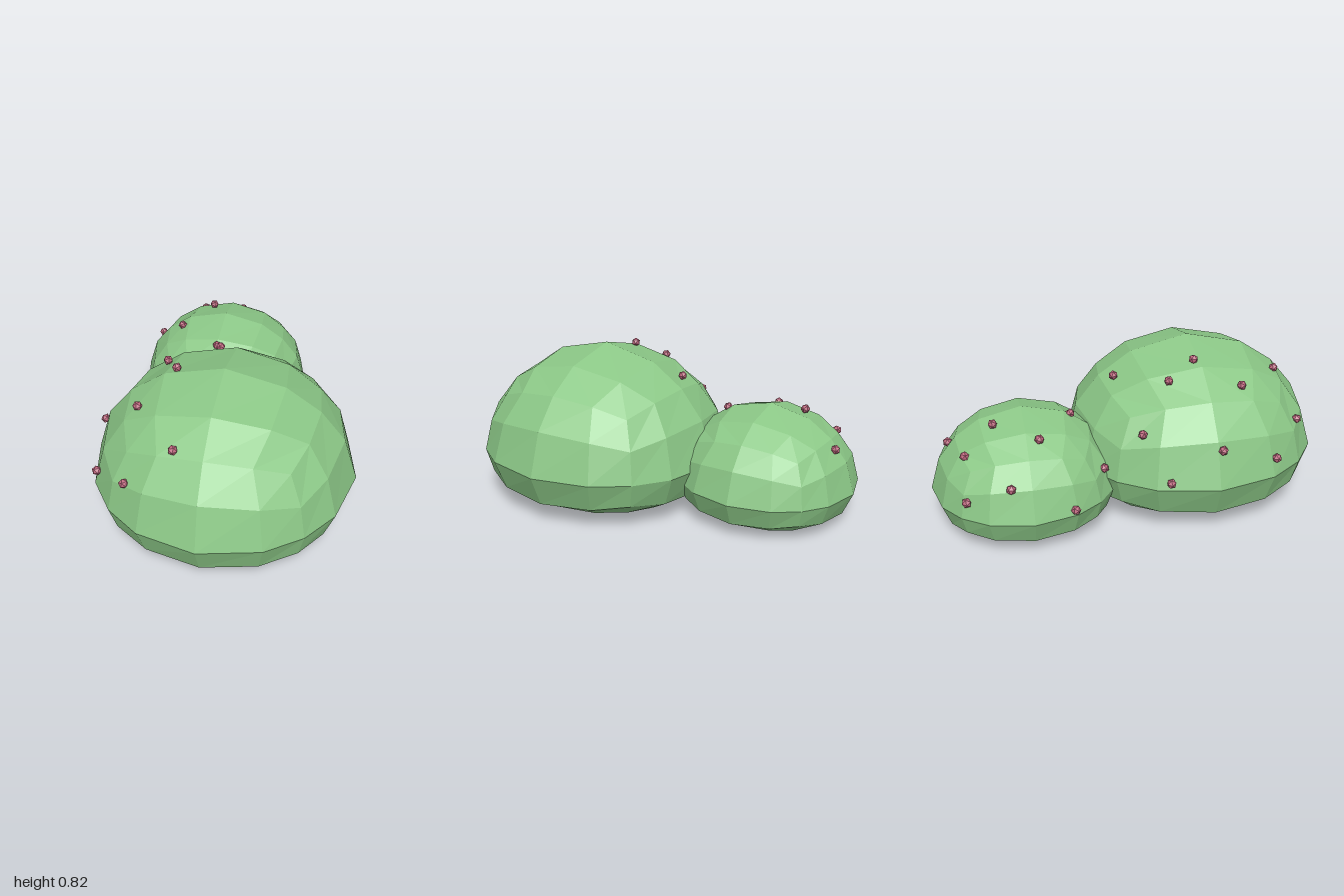
import * as THREE from 'three';

const leafMaterial = new THREE.MeshStandardMaterial({ color: 0x8cc887, flatShading: true });
const berryMaterial = new THREE.MeshStandardMaterial({ color: 0xc06880, flatShading: true });

// Height of the bush for a unit-sphere height t: domed above, flattened below
const squash = (t) => 0.66 * t + 0.233 * t * t - 0.046 * t * t * t;

// A gridded box blown up to a sphere, then flattened underneath
function foliageGeometry(radius) {
  const geometry = new THREE.BoxGeometry(2, 2, 2, 4, 4, 4);
  const position = geometry.attributes.position;
  const v = new THREE.Vector3();
  for (let i = 0; i < position.count; i++) {
    v.fromBufferAttribute(position, i).normalize();
    position.setXYZ(i, v.x * radius, squash(v.y) * radius, v.z * radius);
  }
  geometry.computeVertexNormals();
  return geometry;
}

// Bush with berries seated on its dome; berry spots are [x, z] in the model's frame
function createBush(name, radius, [cx, cy, cz], spots) {
  const bush = new THREE.Group();
  bush.name = name;
  bush.position.set(cx, cy, cz);

  const foliage = new THREE.Mesh(foliageGeometry(radius), leafMaterial);
  foliage.name = 'foliage';
  bush.add(foliage);

  const berryGeometry = new THREE.IcosahedronGeometry(0.024, 0);
  spots.forEach(([x, z], i) => {
    const dx = x - cx, dz = z - cz;
    const t = Math.sqrt(Math.max(0, 1 - (dx * dx + dz * dz) / (radius * radius)));
    const berry = new THREE.Mesh(berryGeometry, berryMaterial);
    berry.name = 'berry';
    berry.position.set(dx, squash(t) * radius, dz);
    berry.rotation.set(i * 0.7, i * 1.3, 0);
    bush.add(berry);
  });
  return bush;
}

export function createModel() {
  const model = new THREE.Group();
  model.name = 'bushes';

  // Slight lean, front raised
  const lean = new THREE.Group();
  lean.name = 'bushPair';
  lean.rotation.x = -0.015;
  model.add(lean);

  lean.add(createBush('largeBush', 0.655, [0, 0.255, 0.345], [
    [-0.11, -0.06], [-0.465, 0.01], [-0.61, 0.115], [-0.325, 0.17], [-0.24, 0.315],
    [-0.605, 0.365], [-0.38, 0.52], [-0.565, 0.65], [-0.37, 0.82], [-0.145, 0.77],
  ]));
  lean.add(createBush('smallBush', 0.465, [-0.185, 0.185, -0.535], [
    [-0.155, -0.9], [-0.37, -0.825], [-0.52, -0.835], [-0.285, -0.68], [-0.585, -0.63],
    [-0.425, -0.475], [-0.605, -0.34], [-0.185, -0.295], [-0.415, -0.17],
  ]));
  return model;
}
